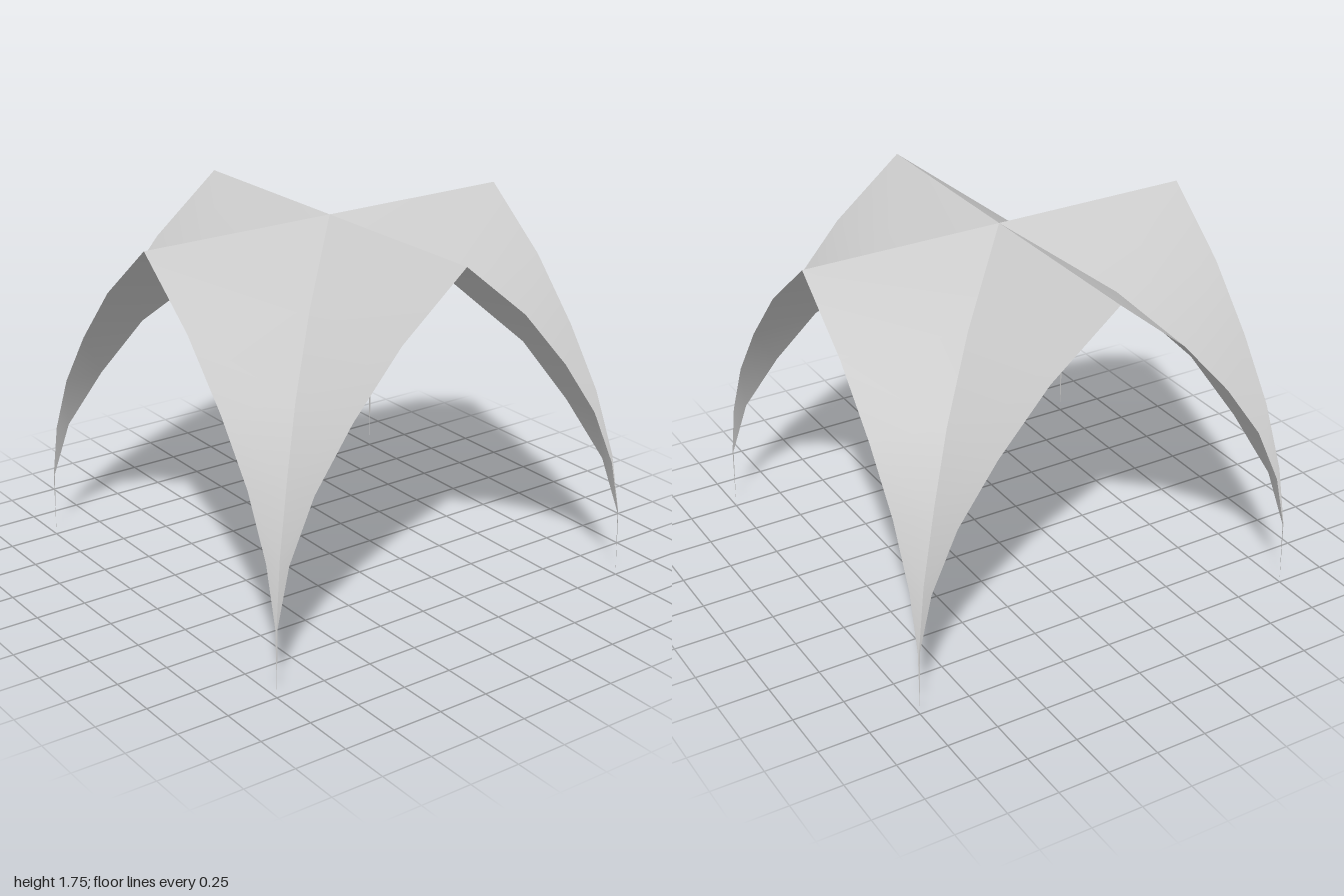
import * as THREE from 'three';

// Each row: height, groin distance along the diagonal, half-width of the outer arch
const rows = [
  [1.755, 0, 0],
  [1.47, 0.395, 0.345],
  [1.18, 0.65, 0.6],
  [0.9, 0.803, 0.798],
  [0.61, 0.932, 0.93],
  [0.33, 0.994, 0.993],
  [0, 1, 1],
];

// One half of a vault web, spanning from the diagonal groin to the outer arch
function webGeometry(sx, sz, swap) {
  const place = (x, y, z) => (swap ? [sx * z, y, sz * x] : [sx * x, y, sz * z]);
  const flip = sx * sz * (swap ? -1 : 1) < 0;
  const positions = [];
  const index = [];
  const face = (a, b, c) => index.push(...(flip ? [a, c, b] : [a, b, c]));

  rows.forEach(([y, groin, arch], i) => {
    positions.push(...place(groin, y, groin), ...place(arch, y, 1));
    if (i === 0) return;
    const a = 2 * (i - 1);
    face(a, a + 1, a + 2);
    if (i < rows.length - 1) face(a + 1, a + 3, a + 2);
  });

  const geometry = new THREE.BufferGeometry();
  geometry.setAttribute('position', new THREE.Float32BufferAttribute(positions, 3));
  geometry.setIndex(index);
  geometry.computeVertexNormals();
  return geometry;
}

export function createModel() {
  const model = new THREE.Group();
  model.name = 'groinVault';
  const material = new THREE.MeshStandardMaterial({ color: 0xcccccc, side: THREE.DoubleSide });

  // Four corner legs, each folded along its groin from two webs
  for (const sz of [1, -1]) {
    for (const sx of [1, -1]) {
      const leg = new THREE.Group();
      leg.name = (sz > 0 ? 'front' : 'back') + (sx > 0 ? 'Left' : 'Right') + 'Leg';
      for (const swap of [false, true]) {
        const web = new THREE.Mesh(webGeometry(sx, sz, swap), material);
        web.name = swap ? 'sideWeb' : 'endWeb';
        leg.add(web);
      }
      model.add(leg);
    }
  }
  return model;
}
